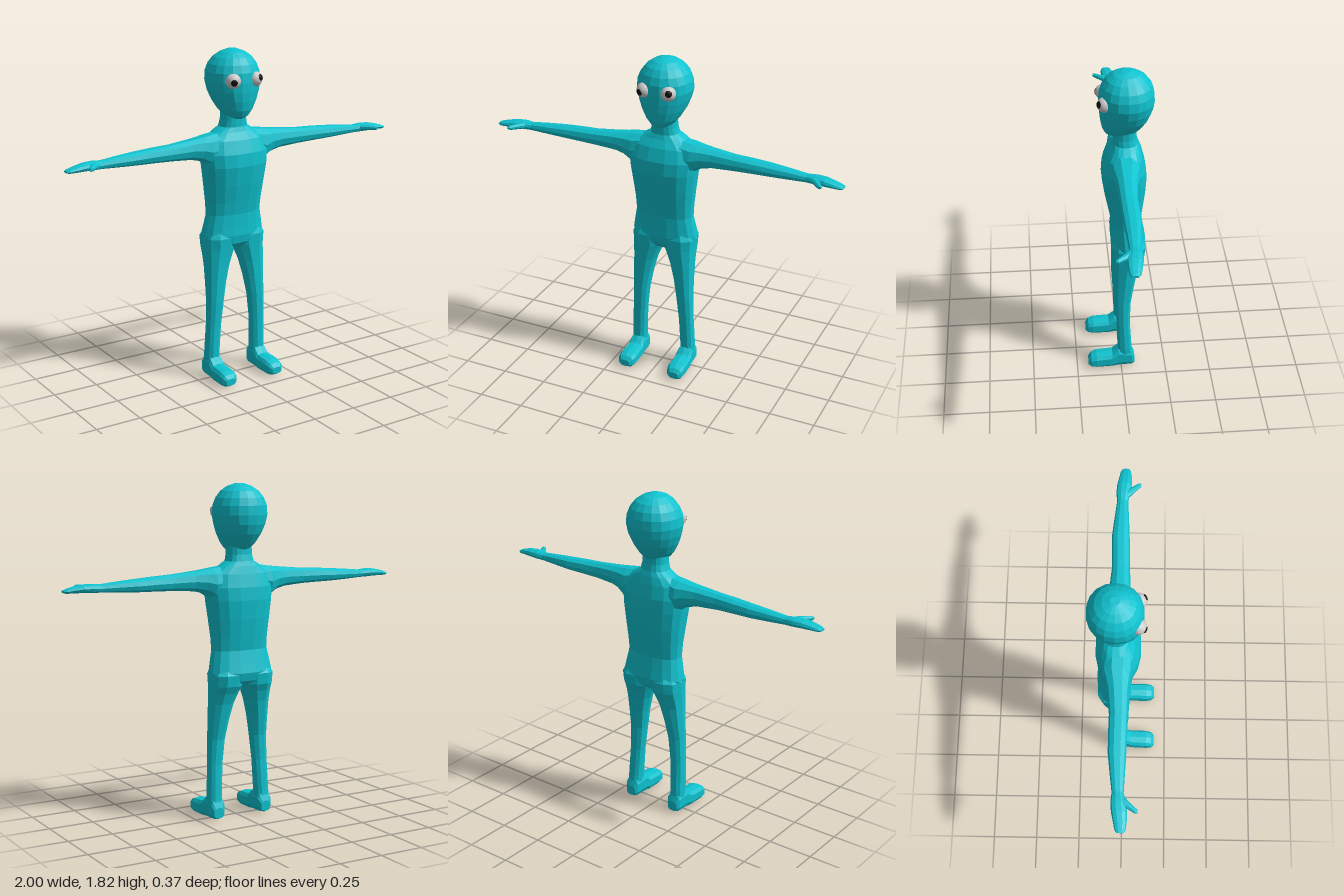
import * as THREE from 'three';

const skin = new THREE.MeshStandardMaterial({ color: 0x0fc3d0, flatShading: true });
const eyeWhite = new THREE.MeshStandardMaterial({ color: 0xcccccc });
const black = new THREE.MeshStandardMaterial({ color: 0x080808 });

// Loft of closed rounded sections along an axis (0 x, 1 y, 2 z).
// Each section: [position, uMin, uMax, vMin, vMax]; u and v are the next two axes (x-y-z cyclic).
function loft(axis, sections, sides, power = 2) {
  const pos = [], index = [];
  const put = (t, u, v) => {
    const p = [0, 0, 0];
    p[axis] = t; p[(axis + 1) % 3] = u; p[(axis + 2) % 3] = v;
    pos.push(...p);
  };
  const round = (c) => Math.sign(c) * Math.pow(Math.abs(c), 2 / power);
  for (const [t, u0, u1, v0, v1] of sections) {
    for (let j = 0; j < sides; j++) {
      const a = ((j + 0.5) / sides) * Math.PI * 2;
      put(t, (u0 + u1) / 2 + (u1 - u0) / 2 * round(Math.cos(a)), (v0 + v1) / 2 + (v1 - v0) / 2 * round(Math.sin(a)));
    }
  }
  const n = sections.length, first = sections[0], last = sections[n - 1];
  for (const s of [first, last]) put(s[0], (s[1] + s[2]) / 2, (s[3] + s[4]) / 2);
  const c0 = n * sides, c1 = c0 + 1;
  for (let j = 0; j < sides; j++) {
    const k = (j + 1) % sides;
    for (let i = 0; i < n - 1; i++) {
      const a = i * sides + j, b = i * sides + k;
      index.push(a, b, b + sides, a, b + sides, a + sides);
    }
    index.push(c0, k, j, c1, (n - 1) * sides + j, (n - 1) * sides + k);
  }
  const g = new THREE.BufferGeometry();
  g.setAttribute('position', new THREE.Float32BufferAttribute(pos, 3));
  g.setIndex(index);
  g.computeVertexNormals();
  return g;
}

// Copy mirrored across x = 0, with the winding turned back outward
function mirrored(g) {
  const m = g.clone().scale(-1, 1, 1), a = m.index.array;
  for (let i = 0; i < a.length; i += 3) [a[i + 1], a[i + 2]] = [a[i + 2], a[i + 1]];
  m.computeVertexNormals();
  return m;
}

export function createModel() {
  const model = new THREE.Group();
  model.name = 'figure';
  const add = (name, geo, mat, parent = model) => {
    const mesh = new THREE.Mesh(geo, mat);
    mesh.name = name;
    parent.add(mesh);
    return mesh;
  };
  const addPair = (name, geo) => {
    add('left' + name, geo, skin);
    add('right' + name, mirrored(geo), skin);
  };
  // Vertical section: height, half width, back z, front z
  const upright = ([y, w, back, front]) => [y, back, front, -w, w];

  // Trunk from crotch to neck
  add('torso', loft(1, [
    [0.735, 0.1, -0.095, 0.02], [0.765, 0.172, -0.13, 0.042], [0.81, 0.186, -0.142, 0.05],
    [0.86, 0.177, -0.13, 0.048], [0.93, 0.163, -0.115, 0.047], [1.0, 0.166, -0.125, 0.06],
    [1.1, 0.177, -0.138, 0.08], [1.2, 0.19, -0.145, 0.095], [1.27, 0.197, -0.14, 0.09],
    [1.34, 0.178, -0.122, 0.065], [1.38, 0.12, -0.11, 0.04], [1.405, 0.078, -0.1, 0.03],
    [1.44, 0.07, -0.092, 0.03], [1.5, 0.068, -0.09, 0.03],
  ].map(upright), 16, 2.4), skin);

  // Head, tapering to the chin
  add('head', loft(1, [
    [1.452, 0.035, -0.07, 0.05], [1.468, 0.06, -0.092, 0.075], [1.5, 0.088, -0.122, 0.09],
    [1.55, 0.117, -0.155, 0.1], [1.6, 0.137, -0.175, 0.105], [1.65, 0.149, -0.183, 0.106],
    [1.7, 0.145, -0.181, 0.102], [1.74, 0.128, -0.168, 0.088], [1.775, 0.1, -0.142, 0.064],
    [1.8, 0.064, -0.105, 0.03], [1.815, 0.022, -0.062, -0.015],
  ].map(upright), 18, 2.1), skin);

  // Arm with mitten hand: x, then y range and z range
  addPair('Arm', loft(0, [
    [0.08, 1.23, 1.385, -0.1, 0.05], [0.17, 1.205, 1.375, -0.108, 0.052],
    [0.22, 1.238, 1.367, -0.092, 0.042], [0.28, 1.253, 1.36, -0.078, 0.034],
    [0.4, 1.261, 1.348, -0.066, 0.03], [0.5, 1.264, 1.343, -0.068, 0.028],
    [0.6, 1.266, 1.336, -0.068, 0.025], [0.7, 1.27, 1.328, -0.057, 0.02],
    [0.8, 1.275, 1.318, -0.045, 0.015], [0.85, 1.276, 1.322, -0.05, 0.026],
    [0.9, 1.278, 1.32, -0.046, 0.033], [0.95, 1.278, 1.31, -0.035, 0.032],
    [0.985, 1.278, 1.3, -0.028, 0.027], [1.0, 1.283, 1.294, -0.018, 0.018],
  ], 10, 2.3));

  // Thumb, pointing forward
  addPair('Thumb', loft(2, [
    [-0.01, 0.805, 0.875, 1.285, 1.318], [0.025, 0.828, 0.88, 1.286, 1.318],
    [0.05, 0.855, 0.893, 1.288, 1.316], [0.072, 0.876, 0.907, 1.29, 1.314],
    [0.083, 0.886, 0.904, 1.295, 1.31],
  ], 8));

  // Leg: y, then z range and x range
  addPair('Leg', loft(1, [
    [0.03, -0.073, 0.02, 0.107, 0.188], [0.13, -0.062, 0.02, 0.108, 0.188],
    [0.3, -0.051, 0.025, 0.1, 0.182], [0.44, -0.056, 0.034, 0.085, 0.178],
    [0.55, -0.075, 0.035, 0.066, 0.177], [0.64, -0.092, 0.037, 0.043, 0.178],
    [0.7, -0.112, 0.04, 0.02, 0.18], [0.74, -0.132, 0.043, 0.002, 0.182],
    [0.8, -0.14, 0.048, 0.0, 0.185], [0.85, -0.11, 0.03, 0.01, 0.16],
  ], 10, 2.4));

  // Foot: z, then x range and y range
  addPair('Foot', loft(2, [
    [-0.076, 0.118, 0.178, 0.012, 0.07], [-0.06, 0.106, 0.189, 0.004, 0.11],
    [0.015, 0.103, 0.192, 0.002, 0.125], [0.05, 0.1, 0.196, 0.0, 0.092],
    [0.14, 0.1, 0.199, 0.0, 0.085], [0.17, 0.106, 0.195, 0.004, 0.073],
    [0.186, 0.122, 0.18, 0.014, 0.053],
  ], 10, 3));

  // Bulging eyes, each with a flattened pupil along its own gaze
  for (const [name, x, gaze] of [
    ['leftEye', 0.067, new THREE.Vector3(0.018, 0.012, 0.036)],
    ['rightEye', -0.067, new THREE.Vector3(-0.016, -0.006, 0.038)],
  ]) {
    const eye = new THREE.Group();
    eye.name = name;
    eye.position.set(x, 1.663, 0.076);
    add('eyeball', new THREE.SphereGeometry(0.041, 24, 16), eyeWhite, eye);
    const pupil = add('pupil', new THREE.SphereGeometry(0.018, 16, 10).scale(1, 1, 0.4), black, eye);
    pupil.position.copy(gaze).setLength(0.037);
    pupil.quaternion.setFromUnitVectors(new THREE.Vector3(0, 0, 1), gaze.clone().normalize());
    model.add(eye);
  }
  return model;
}
